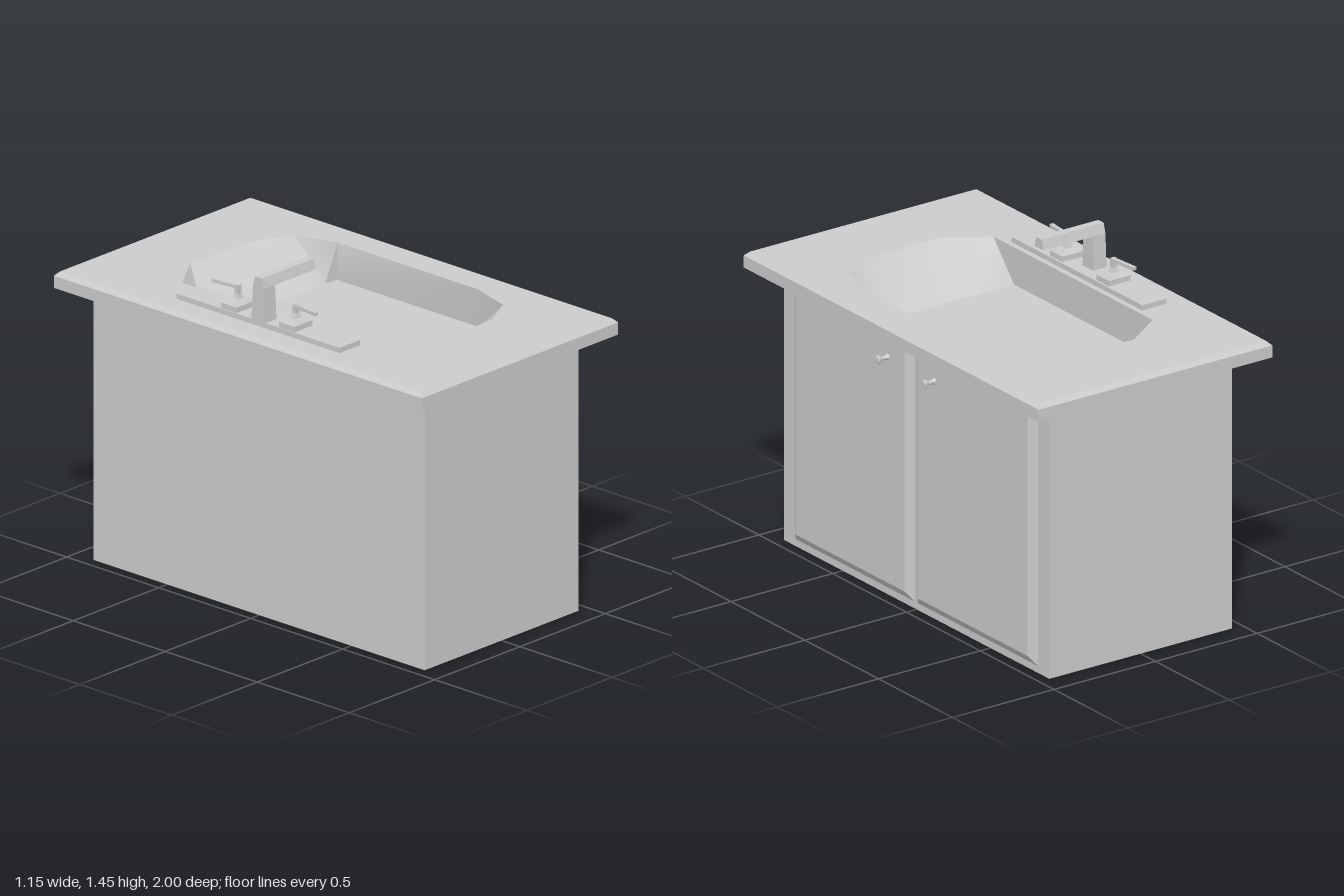
import * as THREE from 'three';
import { toCreasedNormals } from 'three/addons/utils/BufferGeometryUtils.js';

const mat = new THREE.MeshStandardMaterial({ color: 0xcccccc, flatShading: true });
const smoothMat = new THREE.MeshStandardMaterial({ color: 0xcccccc });

// Skin a stack of equal-length rings of [x, y, z]; rings run anticlockwise seen from above.
function loft(rings, capStart = true, capEnd = true) {
  const pos = [];
  const tri = (a, b, c) => pos.push(...a, ...b, ...c);
  const n = rings[0].length;
  for (let k = 0; k + 1 < rings.length; k++) {
    const [a, b] = [rings[k], rings[k + 1]];
    for (let i = 0; i < n; i++) {
      const j = (i + 1) % n;
      tri(a[i], a[j], b[j]);
      tri(a[i], b[j], b[i]);
    }
  }
  const [first, last] = [rings[0], rings[rings.length - 1]];
  for (let i = 1; i + 1 < n; i++) {
    if (capStart) tri(first[0], first[i + 1], first[i]);
    if (capEnd) tri(last[0], last[i], last[i + 1]);
  }
  const g = new THREE.BufferGeometry();
  g.setAttribute('position', new THREE.Float32BufferAttribute(pos, 3));
  g.computeVertexNormals();
  return g;
}

// Rectangular ring at height y
const rect = (y, x0, x1, z0, z1) => [[x1, y, z1], [x1, y, z0], [x0, y, z0], [x0, y, z1]];

function add(parent, name, geometry, material = mat) {
  const mesh = new THREE.Mesh(geometry, material);
  mesh.name = name;
  parent.add(mesh);
  return mesh;
}

// Basin opening as [x, z], anticlockwise seen from above
const rim = [
  [0.43, 0.37], [0.43, -0.39], [0.37, -0.57], [0.22, -0.642], [-0.14, -0.662], [-0.32, -0.54],
  [-0.32, 0.54], [-0.14, 0.66], [0.22, 0.64], [0.37, 0.565],
];

// Flat rectangle pierced by the basin opening; sign -1 faces up, +1 faces down
function piercedSheet(y, hx, hz, sign) {
  const shape = new THREE.Shape([[-hx, -hz], [hx, -hz], [hx, hz], [-hx, hz]].map(p => new THREE.Vector2(...p)));
  shape.holes.push(new THREE.Path(rim.map(([x, z]) => new THREE.Vector2(x, z * sign))));
  return new THREE.ShapeGeometry(shape).rotateX(sign * Math.PI / 2).translate(0, y, 0);
}

function makeCounter() {
  const g = new THREE.Group();
  g.name = 'countertop';
  add(g, 'counterTopFace', piercedSheet(1.24, 0.557, 0.982, -1));
  add(g, 'counterUnderside', piercedSheet(1.17, 0.575, 1, 1));
  add(g, 'counterEdge', loft([
    rect(1.17, -0.575, 0.575, -1, 1),
    rect(1.222, -0.575, 0.575, -1, 1),
    rect(1.24, -0.557, 0.557, -0.982, 0.982),
  ], false, false));
  // Upright front and back walls, sloping ends
  const basin = loft([
    rim.map(([x, z]) => [x, 1.24, z]),
    rim.map(([x, z]) => [x, 1.08, THREE.MathUtils.clamp(z, -0.4, 0.4)]),
  ], false, true);
  add(g, 'basin', toCreasedNormals(basin, 0.5), smoothMat);
  return g;
}

function makeDoor(z0, z1, knobZ) {
  const g = new THREE.Group();
  g.name = 'door';
  // Raised panel, lofted flat and then stood up to face +x
  const b = 0.037;
  const panel = loft([
    rect(0.45, -1.14, -0.03, z0, z1),
    rect(0.475, -1.14 + b, -0.03 - b, z0 + b, z1 - b),
  ]).rotateZ(-Math.PI / 2);
  add(g, 'doorPanel', panel);
  const profile = [[0, 0], [0.015, 0], [0.009, 0.012], [0.009, 0.03], [0.019, 0.05], [0.017, 0.057], [0, 0.059]];
  const knob = new THREE.LatheGeometry(profile.map(p => new THREE.Vector2(...p)), 14);
  add(g, 'doorKnob', toCreasedNormals(knob.rotateZ(-Math.PI / 2), 0.6), smoothMat)
    .position.set(0.474, 1.04, knobZ);
  return g;
}

function makeHandle(z, side) {
  const g = new THREE.Group();
  g.name = 'tapHandle';
  add(g, 'handleBase', loft([
    rect(1.26, -0.053, 0.053, -0.042, 0.042),
    rect(1.285, -0.053, 0.053, -0.042, 0.042),
    rect(1.302, -0.038, 0.038, -0.028, 0.028),
  ]));
  add(g, 'handleStem', loft([
    rect(1.3, -0.018, 0.018, -0.015, 0.015),
    rect(1.32, -0.01, 0.01, -0.009, 0.009),
    rect(1.358, -0.01, 0.01, -0.009, 0.009),
  ]));
  const lever = add(g, 'handleLever', new THREE.BoxGeometry(0.017, 0.014, 0.13));
  lever.position.set(-0.007, 1.35, side * 0.06);
  lever.rotation.y = -side * 0.1;
  g.position.set(-0.407, 0, z);
  return g;
}

function makeTap() {
  const g = new THREE.Group();
  g.name = 'tap';
  add(g, 'tapPlate', loft([
    rect(1.239, -0.465, -0.345, -0.435, 0.45),
    rect(1.262, -0.465, -0.345, -0.435, 0.45),
  ]));
  const c = 0.01;
  add(g, 'spoutColumn', loft([
    rect(1.26, -0.465, -0.4, c - 0.038, c + 0.038),
    rect(1.405, -0.465, -0.4, c - 0.03, c + 0.03),
    rect(1.447, -0.465, -0.4, c - 0.018, c + 0.018),
  ]));
  add(g, 'spoutArm', loft([
    rect(1.405, -0.4, -0.16, c - 0.03, c + 0.03),
    rect(1.447, -0.4, -0.16, c - 0.018, c + 0.018),
  ]));
  g.add(makeHandle(0.16, 1), makeHandle(-0.155, -1));
  return g;
}

export function createModel() {
  const model = new THREE.Group();
  model.name = 'bathroomVanity';
  // Open-topped carcass so the basin can hang inside it
  add(model, 'cabinet', loft([
    rect(0, -0.45, 0.45, -0.9, 0.9),
    rect(1.17, -0.45, 0.45, -0.9, 0.9),
  ], true, false));
  model.add(makeDoor(0.01, 0.82, 0.16), makeDoor(-0.825, -0.008, -0.155));
  model.add(makeCounter(), makeTap());
  return model;
}
